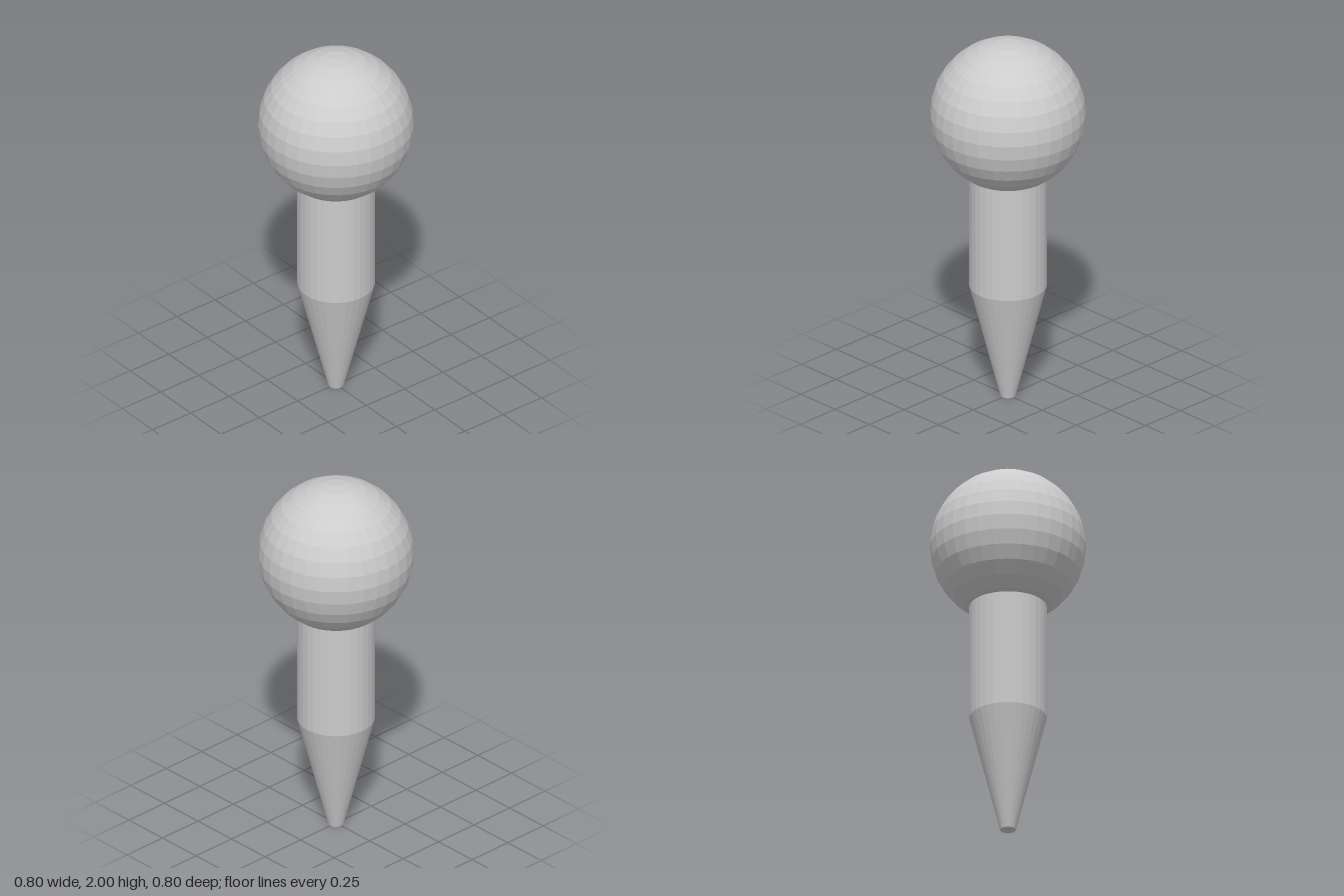
import * as THREE from 'three';

const SIDES = 32;

export function createModel() {
  const model = new THREE.Group();
  const material = new THREE.MeshStandardMaterial({ color: 0xcccccc, flatShading: true });

  const add = (name, geometry, y) => {
    const mesh = new THREE.Mesh(geometry, material);
    mesh.name = name;
    mesh.position.y = y;
    model.add(mesh);
  };

  const tipHeight = 0.63, shaftTop = 1.26, headRadius = 0.4;

  // Round head resting on the shaft
  add('head', new THREE.SphereGeometry(headRadius, SIDES, 16), 2 - headRadius);

  // Straight shaft, open at both ends where it meets its neighbours
  const shaftHeight = shaftTop - tipHeight;
  add('shaft', new THREE.CylinderGeometry(0.2, 0.2, shaftHeight, SIDES, 1, true), tipHeight + shaftHeight / 2);

  // Tapered tip with a small blunt end
  const tipProfile = [[0, 0], [0.04, 0], [0.2, tipHeight]].map(([r, y]) => new THREE.Vector2(r, y));
  add('tip', new THREE.LatheGeometry(tipProfile, SIDES), 0);

  return model;
}
